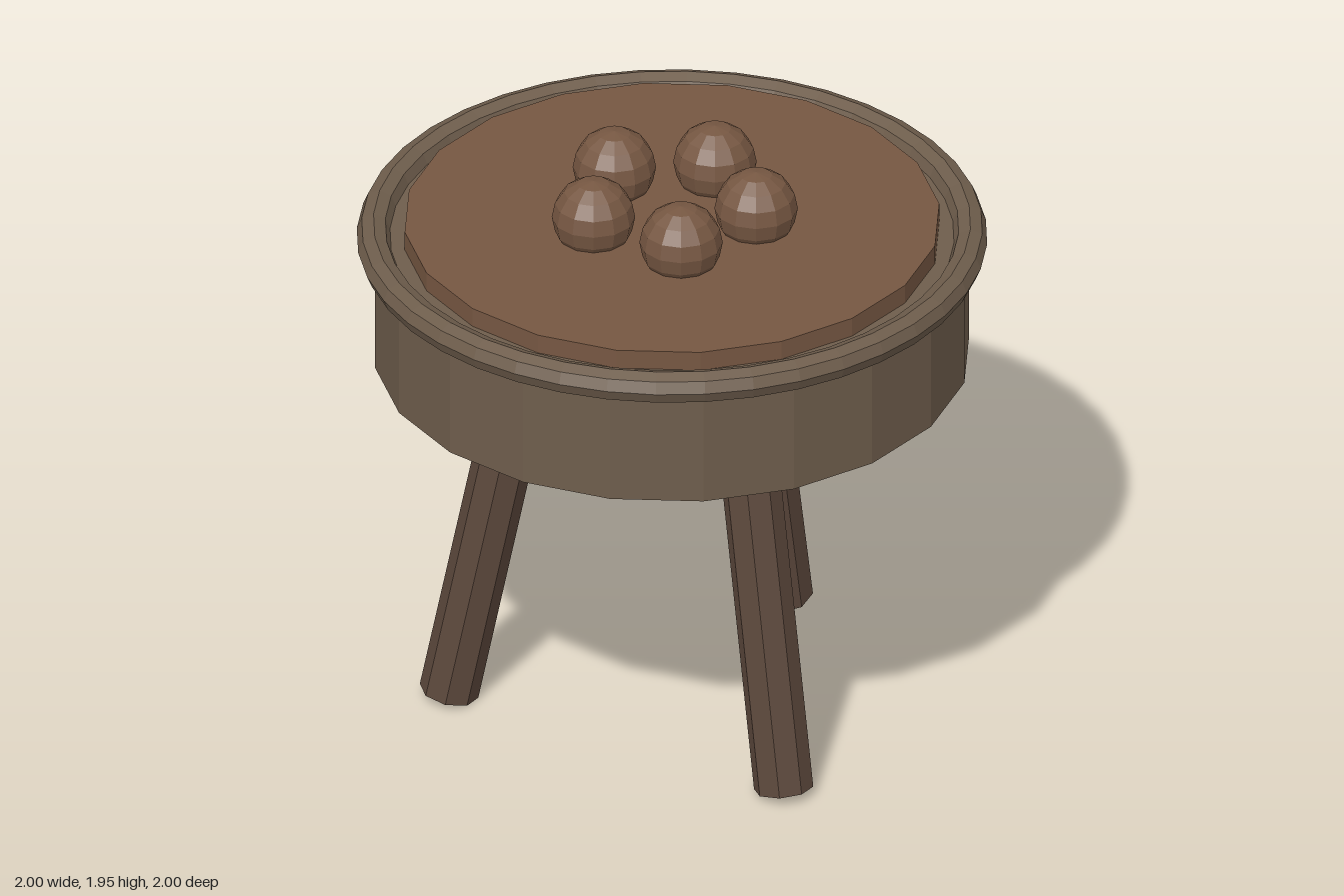
import * as THREE from 'three';

const material = (color) => new THREE.MeshStandardMaterial({ color, flatShading: true });

export function createModel() {
  const model = new THREE.Group();
  const bodyMat = material(0x6e5d4c);
  const legMat = material(0x5c483c);
  const topMat = material(0x765742);

  const add = (name, geometry, mat, x, y, z) => {
    const mesh = new THREE.Mesh(geometry, mat);
    mesh.name = name;
    mesh.position.set(x, y, z);
    model.add(mesh);
    return mesh;
  };

  // Drum-shaped body with a rounded rim and a raised disc on top
  add('body', new THREE.CylinderGeometry(0.945, 0.945, 0.425, 20), bodyMat, 0, 1.4725, 0);
  add('rim', new THREE.TorusGeometry(0.945, 0.053, 8, 40), bodyMat, 0, 1.683, 0).rotation.x = Math.PI / 2;
  add('topDisc', new THREE.CylinderGeometry(0.85, 0.85, 0.07, 20), topMat, 0, 1.715, 0);

  // Five balls in a ring, one at the back
  const ballGeo = new THREE.SphereGeometry(0.132, 12, 8);
  for (let i = 0; i < 5; i++) {
    const a = Math.PI + (i * Math.PI * 2) / 5;
    add('ball', ballGeo, topMat, 0.272 * Math.sin(a), 1.818, 0.272 * Math.cos(a));
  }

  // Three splayed eight-sided legs, one at the back
  const up = new THREE.Vector3(0, 1, 0);
  const legGeo = new THREE.CylinderGeometry(0.095, 0.095, 1.32, 8).rotateY(Math.PI / 8);
  legGeo.translate(0, 0.66, 0);
  for (let i = 0; i < 3; i++) {
    const a = Math.PI + (i * Math.PI * 2) / 3;
    const leg = add('leg', legGeo, legMat, 0.705 * Math.sin(a), 0.019, 0.705 * Math.cos(a));
    const axis = new THREE.Vector3(-0.2 * Math.sin(a), 1, -0.2 * Math.cos(a)).normalize();
    leg.quaternion.setFromUnitVectors(up, axis);
  }
  return model;
}
